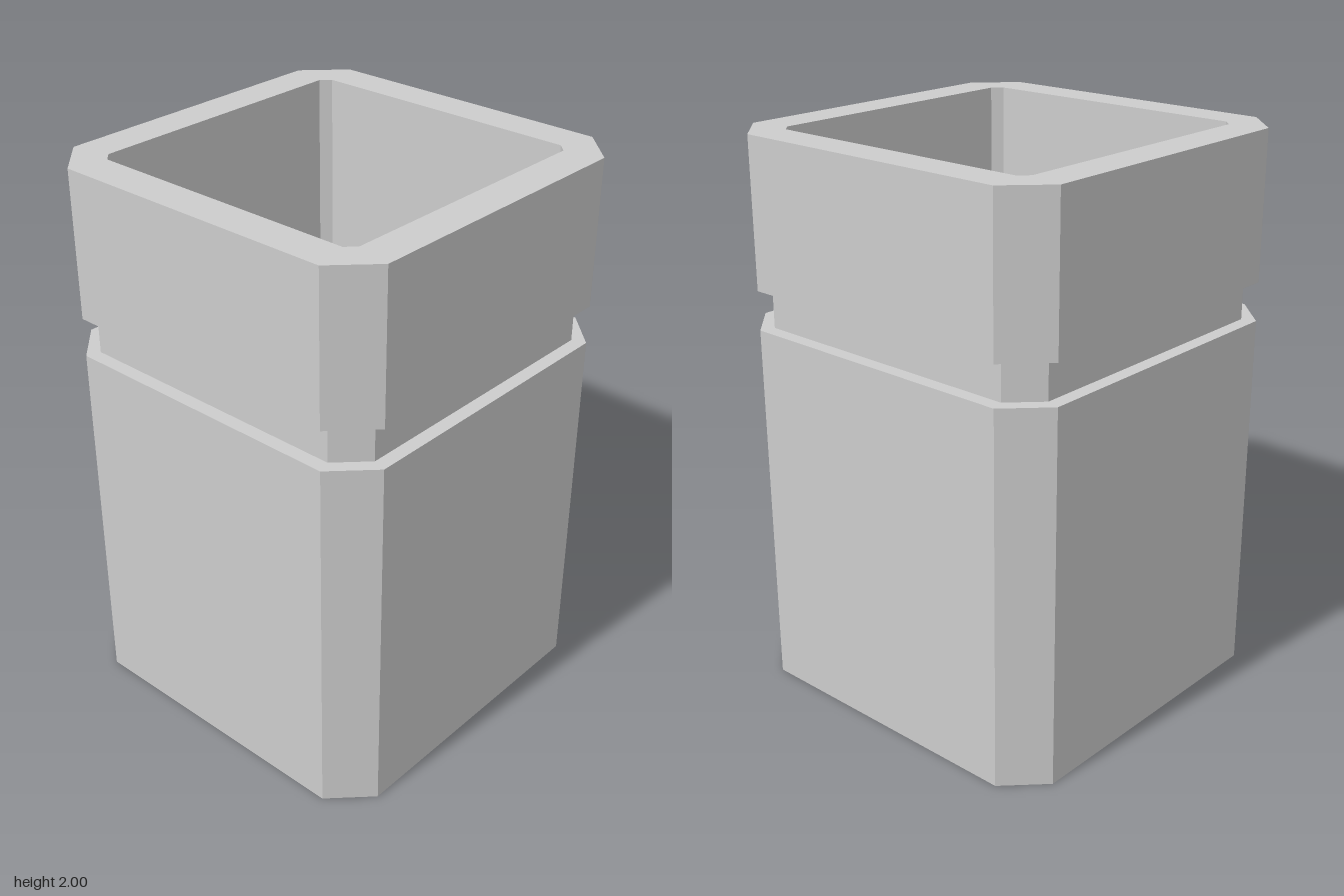
import * as THREE from 'three';

// Corners of a chamfered square, counter-clockwise seen from above.
// half: half width, flat: half length of the straight sides
function section([half, flat, y]) {
  return [
    [half, flat], [half, -flat], [flat, -half], [-flat, -half],
    [-half, -flat], [-half, flat], [-flat, half], [flat, half],
  ].map(([x, z]) => [x, y, z]);
}

// Flat-faced surface joining sections in order; a section of half 0 closes it.
function loft(profile) {
  const pos = [];
  for (let s = 0; s < profile.length - 1; s++) {
    const a = section(profile[s]);
    const b = section(profile[s + 1]);
    for (let i = 0; i < 8; i++) {
      const j = (i + 1) % 8;
      if (profile[s][0] > 0) pos.push(...a[i], ...a[j], ...b[j]);
      if (profile[s + 1][0] > 0) pos.push(...a[i], ...b[j], ...b[i]);
    }
  }
  const geometry = new THREE.BufferGeometry();
  geometry.setAttribute('position', new THREE.Float32BufferAttribute(pos, 3));
  geometry.computeVertexNormals();
  return geometry;
}

export function createModel() {
  const group = new THREE.Group();
  group.name = 'container';
  const grey = new THREE.MeshStandardMaterial({ color: 0xcccccc });
  grey.name = 'light grey';

  const HALF = 0.667, FLAT = 0.533;      // outer body
  const NECK = 0.617, NECK_FLAT = 0.517; // recessed band
  const IN = 0.533, IN_FLAT = 0.5;       // cavity
  const LEDGE = 1.333, COLLAR = 1.472, TOP = 2, FLOOR = 0.133;

  const parts = {
    // underside, walls and the ledge below the band
    lowerBody: [[0, 0, 0], [HALF, FLAT, 0], [HALF, FLAT, LEDGE], [NECK, NECK_FLAT, LEDGE]],
    recessedBand: [[NECK, NECK_FLAT, LEDGE], [NECK, NECK_FLAT, COLLAR]],
    // underside, walls and the rim around the opening
    upperCollar: [[NECK, NECK_FLAT, COLLAR], [HALF, FLAT, COLLAR], [HALF, FLAT, TOP], [IN, IN_FLAT, TOP]],
    // inner walls and floor
    cavity: [[IN, IN_FLAT, TOP], [IN, IN_FLAT, FLOOR], [0, 0, FLOOR]],
  };
  for (const [name, profile] of Object.entries(parts)) {
    const mesh = new THREE.Mesh(loft(profile), grey);
    mesh.name = name;
    group.add(mesh);
  }
  return group;
}
